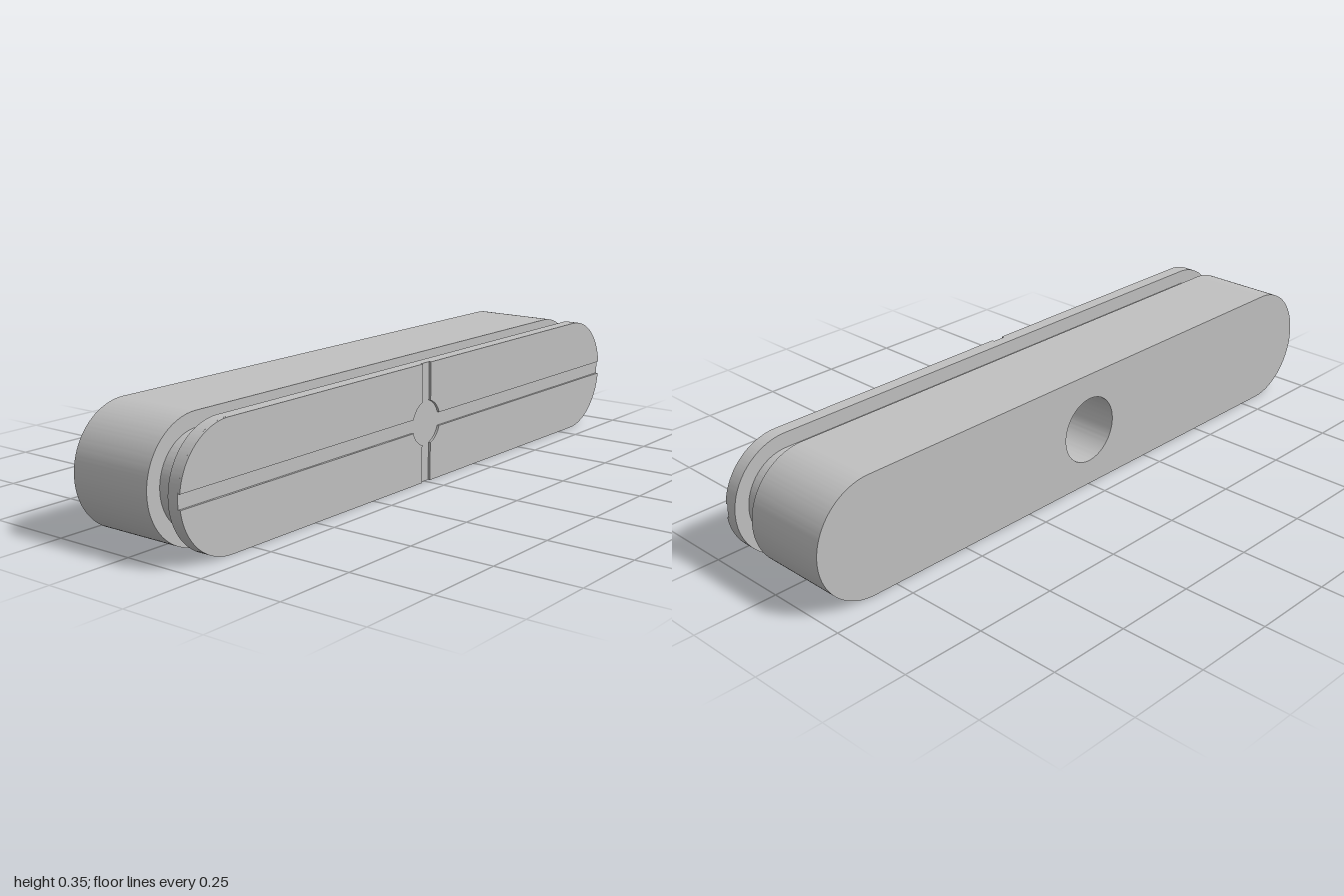
import * as THREE from 'three';
import { toCreasedNormals } from 'three/addons/utils/BufferGeometryUtils.js';

const R = 0.1765;          // end radius of the bar
const HALF = 1 - R;        // half length of its straight part
const GROOVE = 0.02;       // half width of the face grooves
const HUB = 0.066;         // radius of the round recess where the grooves cross

// Stadium outline, long axis along the shape's x
function stadium(r) {
  const s = new THREE.Shape();
  s.absarc(HALF, 0, r, -Math.PI / 2, Math.PI / 2, false);
  s.absarc(-HALF, 0, r, Math.PI / 2, Math.PI * 1.5, false);
  s.closePath();
  return s;
}

// Raised face pad in one quadrant, between the grooves, hub and outer edge
function padShape(su, sv) {
  const pts = [];
  const arc = (cx, r, a0, a1, n) => {
    for (let i = 0; i <= n; i++) {
      const a = a0 + (a1 - a0) * i / n;
      pts.push(new THREE.Vector2(su * (cx + r * Math.cos(a)), sv * r * Math.sin(a)));
    }
  };
  arc(HALF, R, Math.asin(GROOVE / R), Math.PI / 2, 24);
  pts.push(new THREE.Vector2(su * GROOVE, sv * R));
  arc(0, HUB, Math.acos(GROOVE / HUB), Math.asin(GROOVE / HUB), 12);
  return new THREE.Shape(pts);
}

export function createModel() {
  const group = new THREE.Group();
  const grey = new THREE.MeshStandardMaterial({ color: 0xc0c0c0 });
  grey.name = 'grey';

  // Extrude a side-on outline across the width, from x0 to x1
  function slab(name, shape, x0, x1) {
    const extruded = new THREE.ExtrudeGeometry(shape, {
      depth: x1 - x0, bevelEnabled: false, curveSegments: 48,
    });
    extruded.rotateY(Math.PI / 2).translate(x0, R, 0);
    const mesh = new THREE.Mesh(toCreasedNormals(extruded, 0.5), grey);
    mesh.name = name;
    group.add(mesh);
  }

  // Main body with a round blind hole opening on its right side
  const bodyShape = stadium(R);
  const hole = new THREE.Path();
  hole.absarc(0, 0, 0.1, 0, Math.PI * 2, true);
  bodyShape.holes.push(hole);
  slab('body', bodyShape, -0.187, 0.075);

  // Narrow neck and the flange behind the grooved face
  slab('neck', stadium(0.133), 0.075, 0.147);
  slab('flange', stadium(R), 0.147, 0.18);

  // Four raised pads leave the crossing grooves and hub recess between them
  for (const su of [1, -1]) {
    for (const sv of [1, -1]) {
      slab(`${sv > 0 ? 'upper' : 'lower'}${su > 0 ? 'Back' : 'Front'}Pad`, padShape(su, sv), 0.18, 0.187);
    }
  }
  return group;
}
